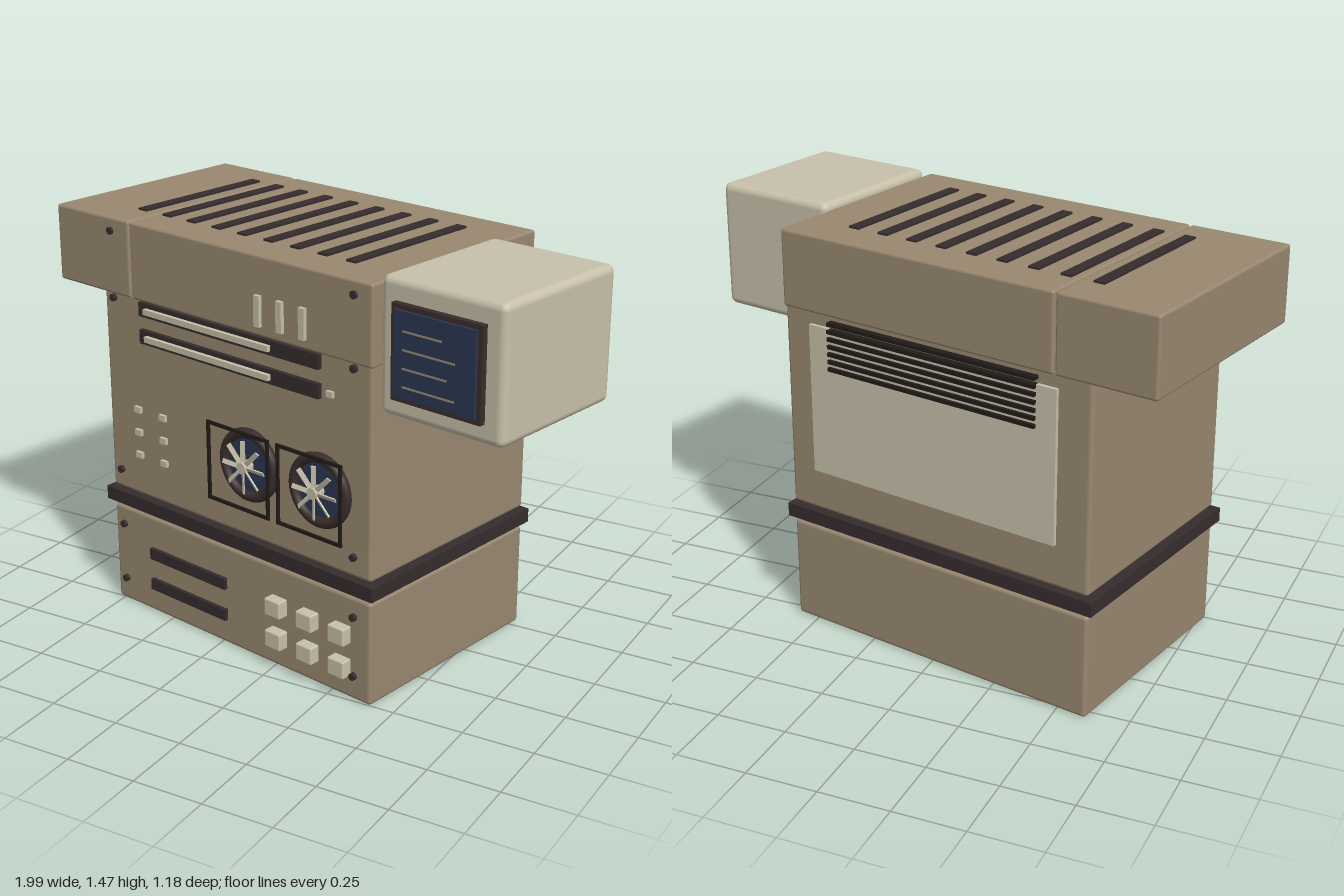
import * as THREE from 'three';
import { RoundedBoxGeometry } from 'three/addons/geometries/RoundedBoxGeometry.js';

function mat(name, hex) {
  const m = new THREE.MeshStandardMaterial({ color: hex });
  m.name = name;
  return m;
}

export function createModel() {
  const tan = mat('tan casing', 0x998870);
  const cream = mat('cream plastic', 0xc8c0aa);
  const dark = mat('dark trim', 0x362c2e);
  const brown = mat('dark brown bezel', 0x3a2d2b);
  const black = mat('black grille', 0x211b19);
  const blue = mat('blue glass', 0x2b3652);

  const model = new THREE.Group();
  model.name = 'computerCabinet';
  model.rotation.y = -THREE.MathUtils.degToRad(12);

  const add = (name, geo, material, x = 0, y = 0, z = 0, parent = model) => {
    const m = new THREE.Mesh(geo, material);
    m.name = name;
    m.position.set(x, y, z);
    parent.add(m);
    return m;
  };
  // Box given by its limits on each axis; r rounds the edges
  const span = (name, material, [x0, x1], [y0, y1], [z0, z1], r = 0, parent = model) => {
    const s = [x1 - x0, y1 - y0, z1 - z0];
    const geo = r ? new RoundedBoxGeometry(...s, 3, r) : new THREE.BoxGeometry(...s);
    return add(name, geo, material, (x0 + x1) / 2, (y0 + y1) / 2, (z0 + z1) / 2, parent);
  };
  const front = 0.408;
  // Box standing on the front face, centred on x and y
  const onFront = (name, material, x, y, w, h, d, z = front) =>
    span(name, material, [x - w / 2, x + w / 2], [y - h / 2, y + h / 2], [z - 0.004, z + d]);

  // Cabinet: base, dark band, middle, head and side arm
  span('base', tan, [-0.708, 0.512], [0, 0.375], [-front, front], 0.014);
  span('band', dark, [-0.73, 0.528], [0.39, 0.44], [-0.422, 0.422]);
  span('middleCasing', tan, [-0.708, 0.512], [0.448, 1.19], [-front, front], 0.014);
  span('head', tan, [-0.566, 0.514], [1.175, 1.446], [-0.416, 0.412], 0.01);
  span('sideArm', tan, [-0.934, -0.572], [1.175, 1.446], [-0.416, 0.412], 0.01);

  // Top vents
  for (let i = 0; i < 9; i++) {
    const x = -0.639 + i * 0.11875;
    span('topVent', dark, [x - 0.02, x + 0.02], [1.44, 1.453], [-0.28, 0.28]);
  }

  // Back panel and its louvres
  span('backPanel', cream, [-0.585, 0.4], [0.6, 1.135], [-0.421, -0.4]);
  for (let i = 0; i < 7; i++) {
    const y = 0.996 + i * 0.0266;
    span('backLouvre', black, [-0.51, 0.315], [y - 0.0065, y + 0.0065], [-0.433, -0.4]);
  }

  // Drive slots with cream bars, and the small button
  for (const y of [1.055, 1.153]) {
    onFront('driveSlot', dark, -0.108, y, 0.823, 0.05, 0.017);
    onFront('driveBar', cream, -0.192, y, 0.58, 0.02, 0.032);
  }
  onFront('driveButton', cream, 0.344, 1.055, 0.028, 0.02, 0.012);

  // Vertical bars on the head
  for (const x of [0.038, 0.135, 0.232]) onFront('headBar', cream, x, 1.263, 0.024, 0.105, 0.014, 0.412);

  // Indicator lights
  for (const x of [-0.555, -0.43])
    for (const y of [0.605, 0.69, 0.775]) onFront('indicator', cream, x, y, 0.03, 0.022, 0.012);

  // Base slots and key buttons
  for (const y of [0.115, 0.235]) {
    onFront('baseSlot', dark, -0.328, y, 0.375, 0.042, 0.014);
    for (const x of [0.107, 0.25, 0.392]) {
      span('keyButton', cream, [x - 0.035, x + 0.035], [y - 0.032, y + 0.032], [0.4, 0.447], 0.006);
    }
  }

  // Screws
  const screw = new THREE.CylinderGeometry(0.013, 0.013, 0.02, 12).rotateX(Math.PI / 2);
  for (const x of [-0.657, 0.442])
    for (const y of [0.09, 0.307, 0.522, 1.163, 1.4]) add('screw', screw, dark, x, y, 0.412);

  // Fans: ring, blue disc, pitched blades, hub and square guard
  const ring = new THREE.TorusGeometry(0.112, 0.018, 10, 36);
  const disc = new THREE.CylinderGeometry(0.11, 0.11, 0.022, 36).rotateX(Math.PI / 2);
  const hub = new THREE.CylinderGeometry(0.02, 0.02, 0.045, 16).rotateX(Math.PI / 2);
  const blade = new THREE.BoxGeometry(0.016, 0.08, 0.005).rotateY(0.5).translate(0, 0.053, 0);
  for (const x of [0.0, 0.314]) {
    const fan = new THREE.Group();
    fan.name = 'fan';
    fan.position.set(x, 0.725, front);
    model.add(fan);
    add('fanRing', ring, brown, 0, 0, 0.022, fan);
    add('fanDisc', disc, blue, 0, 0, 0.011, fan);
    add('fanHub', hub, cream, 0, 0, 0.041, fan);
    for (let i = 0; i < 8; i++) {
      add('fanBlade', blade, cream, 0, 0, 0.052, fan).rotation.z = i * Math.PI / 4;
    }
    for (const s of [-1, 1]) {
      add('guardSide', new THREE.BoxGeometry(0.011, 0.28, 0.008), black, s * 0.134, 0, 0.076, fan);
      add('guardRail', new THREE.BoxGeometry(0.28, 0.011, 0.008), black, 0, s * 0.135, 0.076, fan);
    }
  }

  // Monitor on its bracket
  span('monitorBracket', tan, [0.5, 0.67], [1.12, 1.365], [-0.2, -0.1]);
  span('monitorCase', cream, [0.51, 0.982], [1.022, 1.471], [-0.188, 0.372], 0.026);
  span('screenBezel', brown, [0.572, 0.915], [1.09, 1.4], [0.36, 0.394]);
  span('screen', blue, [0.588, 0.899], [1.108, 1.384], [0.38, 0.404]);
  [0.15, 0.2, 0.17, 0.2].forEach((w, i) => {
    const y = 1.322 - i * 0.059;
    span('screenLine', tan, [0.625, 0.625 + w], [y - 0.003, y + 0.003], [0.4, 0.406]);
  });

  const root = new THREE.Group();
  root.name = 'cabinetModel';
  root.add(model);
  return root;
}
